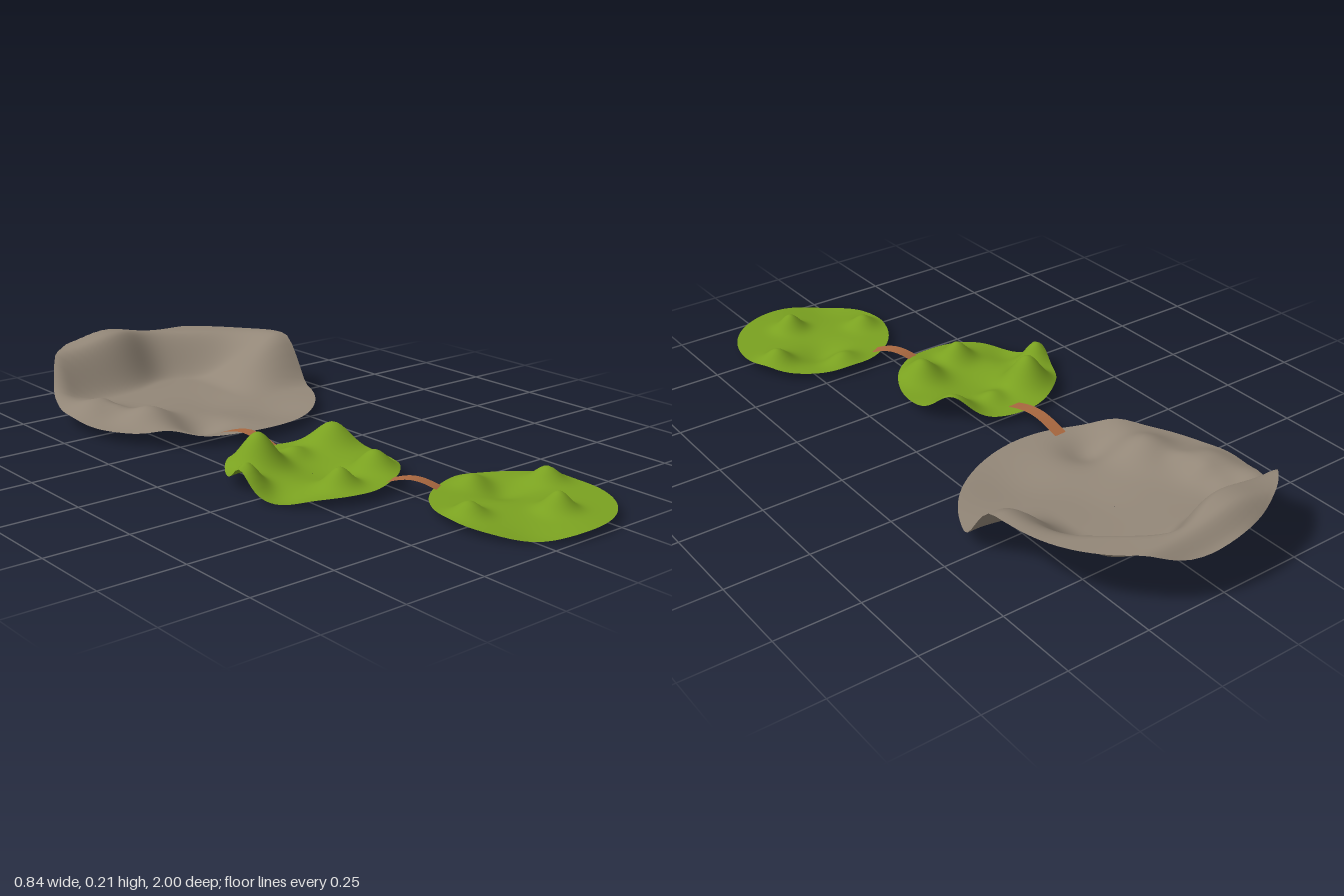
import * as THREE from 'three';
import { mergeVertices } from 'three/addons/utils/BufferGeometryUtils.js';

const flat = (name, color) => {
  const m = new THREE.MeshStandardMaterial({ color, side: THREE.DoubleSide });
  m.name = name;
  return m;
};
const smooth = (v, a, b) => THREE.MathUtils.smoothstep(v, a, b);

// sum of soft hills (or hollows): [x, z, height, spread]
const hills = (list, x, z) => list.reduce((sum, [hx, hz, h, s]) =>
  sum + h * Math.exp(-((x - hx) ** 2 + (z - hz) ** 2) / (2 * s * s)), 0);

// round sheet of ground, lifted by a height rule
function terrain(name, cx, cz, r, material, height) {
  let g = new THREE.RingGeometry(0.0005, r, 96, 40);
  g.rotateX(-Math.PI / 2);
  g.translate(cx, 0, cz);
  const p = g.attributes.position;
  for (let i = 0; i < p.count; i++) {
    p.setY(i, Math.max(0, height(p.getX(i), p.getZ(i))));
  }
  g.deleteAttribute('uv');
  g.deleteAttribute('normal');
  g = mergeVertices(g, 1e-5);
  g.computeVertexNormals();
  const mesh = new THREE.Mesh(g, material);
  mesh.name = name;
  return mesh;
}

// thin arched strip between two points [x, y, z]
function bridge(name, from, to, rise, width, material) {
  const a = new THREE.Vector3(...from), b = new THREE.Vector3(...to);
  const side = new THREE.Vector3(b.z - a.z, 0, a.x - b.x).normalize();
  const g = new THREE.PlaneGeometry(1, 1, 1, 16);
  const p = g.attributes.position;
  for (let i = 0; i < p.count; i++) {
    const t = p.getY(i) + 0.5;
    const v = a.clone().lerp(b, t).addScaledVector(side, p.getX(i) * width);
    p.setXYZ(i, v.x, v.y + rise * Math.sin(Math.PI * t), v.z);
  }
  g.computeVertexNormals();
  const mesh = new THREE.Mesh(g, material);
  mesh.name = name;
  return mesh;
}

export function createModel() {
  const rock = flat('rock', 0x938778);
  const grass = flat('grass', 0x7aa120);
  const wood = flat('wood', 0xa8673f);
  const group = new THREE.Group();

  // rocky basin: back ridge, right-hand shelf, low hills at the left, hollows at the front
  const rockHills = [
    [-0.33, -0.6, 0.045, 0.06], [-0.24, -0.43, 0.05, 0.06], [-0.08, -0.92, 0.035, 0.09],
    [0.38, -0.62, 0.025, 0.08], [-0.13, -0.31, -0.034, 0.05], [-0.28, -0.26, 0.02, 0.05],
    [-0.37, -0.74, 0.035, 0.05], [0.14, -0.32, -0.018, 0.09], [0.03, -0.5, -0.01, 0.08],
    [-0.28, -0.7, 0.008, 0.025], [-0.28, -0.62, 0.01, 0.025], [-0.28, -0.54, 0.01, 0.025],
  ];
  group.add(terrain('rockBasin', 0, -0.58, 0.42, rock, (x, z) => {
    const bay = 0.06 * Math.exp(-(((x - 0.08) / 0.12) ** 2));
    const foot = 0.73 + bay - (x > 0 ? 0.8 * x * x : 0);
    const ridge = smooth(-z, foot, foot + 0.14) * smooth(x, -0.44, -0.31);
    const shelf = smooth(x, 0.15, 0.4) * smooth(-z, 0.44, 0.6);
    const wall = 1 - (1 - ridge) * (1 - shelf);
    const outerDrop = 0.04 * smooth(-z, 0.93, 1.0);
    return 0.034 + 0.139 * wall + hills(rockHills, x, z) * (1 - 0.5 * shelf) - outerDrop;
  }));

  // middle meadow with tall knolls
  const middleHills = [
    [-0.22, 0.09, 0.1, 0.045], [-0.34, 0.2, 0.066, 0.032], [-0.15, 0.36, 0.055, 0.032],
    [0.01, 0.32, 0.06, 0.04], [0.07, 0.07, 0.068, 0.048], [-0.08, 0.08, 0.025, 0.03],
    [-0.31, 0.31, -0.026, 0.055], [-0.1, 0.22, -0.015, 0.07], [-0.02, 0.43, 0.008, 0.04],
  ];
  group.add(terrain('middleMeadow', -0.12, 0.21, 0.245, grass,
    (x, z) => 0.028 + hills(middleHills, x, z)));

  // front meadow with small knolls and hollows
  const frontHills = [
    [-0.03, 0.73, 0.037, 0.03], [0.32, 0.68, 0.043, 0.032], [0.175, 0.85, 0.052, 0.03],
    [0.15, 0.57, 0.03, 0.035], [0.18, 0.65, -0.024, 0.05], [0.01, 0.92, -0.017, 0.07],
  ];
  group.add(terrain('frontMeadow', 0.147, 0.753, 0.246, grass,
    (x, z) => 0.025 + hills(frontHills, x, z)));

  // arched footbridges
  group.add(bridge('rearBridge', [-0.113, 0.034, -0.21], [-0.102, 0.038, 0], 0.022, 0.04, wood));
  group.add(bridge('frontBridge', [-0.03, 0.034, 0.425], [0.038, 0.032, 0.55], 0.017, 0.04, wood));

  return group;
}
